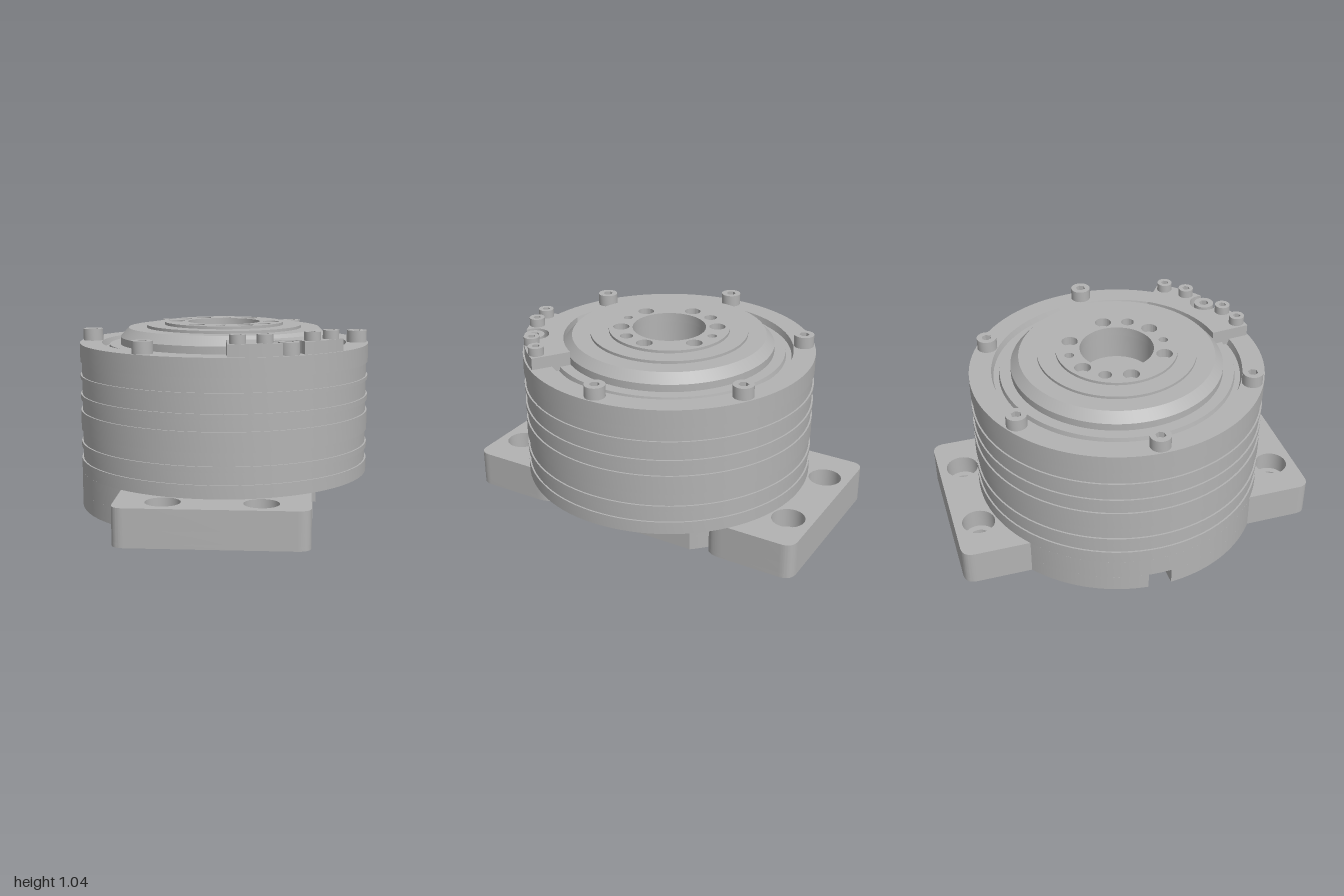
import * as THREE from 'three';
import { toCreasedNormals } from 'three/addons/utils/BufferGeometryUtils.js';

const metal = new THREE.MeshStandardMaterial({ color: 0xb3b3b3 });
metal.name = 'grey metal';
const rad = THREE.MathUtils.degToRad;

function add(parent, name, geometry) {
  const mesh = new THREE.Mesh(toCreasedNormals(geometry, 0.5), metal);
  mesh.name = name;
  parent.add(mesh);
  return mesh;
}

// Plan shape (x, -z) extruded upward from y0 to y1
function slab(parent, name, shape, y0, y1, segs = 24) {
  const g = new THREE.ExtrudeGeometry(shape, { depth: y1 - y0, bevelEnabled: false, curveSegments: segs });
  g.rotateX(-Math.PI / 2);
  g.translate(0, y0, 0);
  return add(parent, name, g);
}

function circle(x, y, r, Type = THREE.Path) {
  return new Type().absarc(x, y, r, 0, Math.PI * 2, false);
}

// Socket-head screw standing on y = 0
function screw(parent, name, r, h, x, y, z, flip = false) {
  const group = new THREE.Group();
  group.name = name;
  const head = circle(0, 0, r, THREE.Shape);
  const hex = [];
  for (let i = 0; i < 6; i++) hex.push(new THREE.Vector2(r * 0.5 * Math.cos(i * Math.PI / 3), r * 0.5 * Math.sin(i * Math.PI / 3)));
  head.holes.push(new THREE.Path(hex));
  slab(group, 'screwHead', head, 0, h, 12);
  const core = new THREE.CylinderGeometry(r * 0.6, r * 0.6, h * 0.5, 16);
  core.translate(0, h * 0.25, 0);
  add(group, 'socketFloor', core);
  group.position.set(x, y, z);
  if (flip) group.rotation.x = Math.PI;
  parent.add(group);
}

// Base outline: two mounting flanges, a round side (-x) and a cut-back side (+x)
function footprint(boltRadius, notch) {
  const s = new THREE.Shape();
  const w = rad(39.7), e = rad(50.3), b = rad(127.8);
  s.moveTo(0.5, -0.415);
  s.lineTo(0.5, 0.415);
  s.absarc(0, 0, 0.65, w, e, false);
  s.lineTo(0.43, 0.5);
  s.quadraticCurveTo(0.49, 0.5, 0.49, 0.6);
  s.lineTo(0.49, 0.93);
  s.quadraticCurveTo(0.49, 1, 0.42, 1);
  s.lineTo(-0.42, 1);
  s.quadraticCurveTo(-0.49, 1, -0.49, 0.93);
  if (notch) {
    s.absarc(0, 0, 0.8, b, Math.PI - 0.08, false);
    s.lineTo(-0.71, 0.06);
    s.lineTo(-0.71, -0.06);
    s.absarc(0, 0, 0.8, Math.PI + 0.08, 2 * Math.PI - b, false);
  } else {
    s.absarc(0, 0, 0.8, b, 2 * Math.PI - b, false);
  }
  s.lineTo(-0.49, -0.93);
  s.quadraticCurveTo(-0.49, -1, -0.42, -1);
  s.lineTo(0.42, -1);
  s.quadraticCurveTo(0.49, -1, 0.49, -0.93);
  s.lineTo(0.49, -0.6);
  s.quadraticCurveTo(0.49, -0.5, 0.43, -0.5);
  s.absarc(0, 0, 0.65, -e, -w, false);
  for (const x of [-0.245, 0.245]) for (const y of [-0.865, 0.865]) s.holes.push(circle(x, y, boltRadius));
  return s;
}

function arcSlot(r0, r1, a0, a1) {
  const p = new THREE.Path();
  p.absarc(0, 0, r1, a0, a1, false);
  p.absarc(0, 0, r0, a1, a0, true);
  p.closePath();
  return p;
}

function buildBase(parent) {
  const base = new THREE.Group();
  base.name = 'base';
  parent.add(base);
  slab(base, 'upperFlange', footprint(0.09, false), 0.11, 0.22);
  slab(base, 'lowerFlange', footprint(0.055, true), 0.045, 0.11);

  // Underside with ventilation slots and screw recesses
  const vent = footprint(0.055, true);
  for (let ring = 0; ring < 8; ring++) {
    const r = 0.075 + ring * 0.056;
    const gap = 0.02 / r;
    for (let i = 0; i < 8; i++) {
      const a = i * Math.PI / 4;
      vent.holes.push(arcSlot(r, r + 0.03, a + gap, a + Math.PI / 4 - gap));
    }
  }
  vent.holes.push(arcSlot(0.573, 0.583, rad(35), rad(325)));
  for (const x of [-0.36, 0.36]) for (const z of [-0.63, 0.63]) {
    vent.holes.push(circle(x, z, 0.06));
    screw(base, 'undersideScrew', 0.045, 0.03, x, 0.045, z, true);
  }
  slab(base, 'ventCover', vent, 0.02, 0.045, 12);

  const pin = new THREE.CylinderGeometry(0.015, 0.015, 0.045, 16);
  pin.translate(0, 0.0225, 0);
  add(base, 'centrePin', pin);
}

// Open-fronted socket on the +x wall
function connector(parent, z, y, w, h, pins) {
  const s = new THREE.Shape();
  s.moveTo(-w / 2, -h / 2);
  s.lineTo(w / 2, -h / 2);
  s.lineTo(w / 2, h / 2);
  s.lineTo(-w / 2, h / 2);
  s.closePath();
  if (pins) {
    for (const k of [-0.25, 0.25]) s.holes.push(circle(k * w, 0, h * 0.2));
  } else {
    const p = new THREE.Path();
    p.moveTo(-w * 0.4, -h * 0.32);
    p.lineTo(-w * 0.4, h * 0.32);
    p.lineTo(w * 0.4, h * 0.32);
    p.lineTo(w * 0.4, -h * 0.32);
    p.closePath();
    s.holes.push(p);
  }
  const g = new THREE.ExtrudeGeometry(s, { depth: 0.03, bevelEnabled: false, curveSegments: 8 });
  g.rotateY(Math.PI / 2);
  g.translate(0.49, y, z);
  add(parent, 'connector', g);
}

function buildHousing(parent) {
  // Ribbed barrel, grooved top and stepped output hub in one profile
  const bands = [0.22, 0.29, 0.355, 0.385, 0.455, 0.56, 0.62, 0.65, 0.735, 0.755, 0.83, 0.93];
  const pts = [[0, 0.22]];
  for (let i = 0; i < bands.length - 1; i++) {
    const r = i % 2 ? 0.791 : 0.8;
    pts.push([r, bands[i]], [r, bands[i + 1]]);
  }
  pts.push([0.68, 0.93], [0.67, 0.895], [0.64, 0.895], [0.635, 0.92], [0.575, 0.92], [0.575, 0.96], [0.53, 1.01],
    [0.43, 1.01], [0.43, 1.025], [0.32, 1.025], [0.32, 0.99], [0.2, 0.99], [0.2, 0.85], [0, 0.85]);
  add(parent, 'housing', new THREE.LatheGeometry(pts.map(p => new THREE.Vector2(...p)), 96));

  // Output ring with bolt and dowel holes
  const ring = circle(0, 0, 0.33, THREE.Shape);
  ring.holes.push(circle(0, 0, 0.2));
  for (let i = 0; i < 6; i++) {
    const a = i * Math.PI / 3;
    ring.holes.push(circle(0.262 * Math.cos(a), 0.262 * Math.sin(a), 0.044));
  }
  for (const [a, r] of [[90, 0.025], [270, 0.025], [150, 0.035], [330, 0.035]]) {
    ring.holes.push(circle(0.264 * Math.cos(rad(a)), 0.264 * Math.sin(rad(a)), r));
  }
  slab(parent, 'outputRing', ring, 0.99, 1.04, 32);

  for (let i = 0; i < 6; i++) {
    const a = i * Math.PI / 3;
    screw(parent, 'housingScrew', 0.055, 0.065, 0.738 * Math.cos(a), 0.93, 0.738 * Math.sin(a));
  }
}

function buildClamp(parent) {
  // Curved clamp plate, scalloped around one housing screw
  const clamp = new THREE.Group();
  clamp.name = 'clampPlate';
  const half = rad(25), s = new THREE.Shape();
  s.absarc(0, 0, 0.79, -half, -rad(4.5), false);
  s.absarc(0.737, 0, 0.08, -rad(50.8), rad(50.8), true);
  s.absarc(0, 0, 0.79, rad(4.5), half, false);
  s.absarc(0, 0, 0.577, half, -half, true);
  slab(clamp, 'plate', s, 0.9, 0.995);
  for (const a of [-21, -10.5, 10.5, 21]) {
    screw(clamp, 'clampScrew', 0.042, 0.05, 0.748 * Math.cos(rad(a)), 0.99, 0.748 * Math.sin(rad(a)));
  }
  clamp.rotation.y = -Math.PI / 3;
  parent.add(clamp);
}

export function createModel() {
  const model = new THREE.Group();
  model.name = 'rotaryActuator';
  buildBase(model);
  buildHousing(model);
  buildClamp(model);

  // Connectors on the cut-back wall
  connector(model, 0.175, 0.105, 0.11, 0.07, false);
  connector(model, 0, 0.09, 0.17, 0.08, true);
  connector(model, -0.175, 0.105, 0.1, 0.07, false);
  const tab = new THREE.BoxGeometry(0.09, 0.08, 0.06);
  tab.translate(0.535, 0.18, 0);
  add(model, 'connectorTab', tab);
  return model;
}
